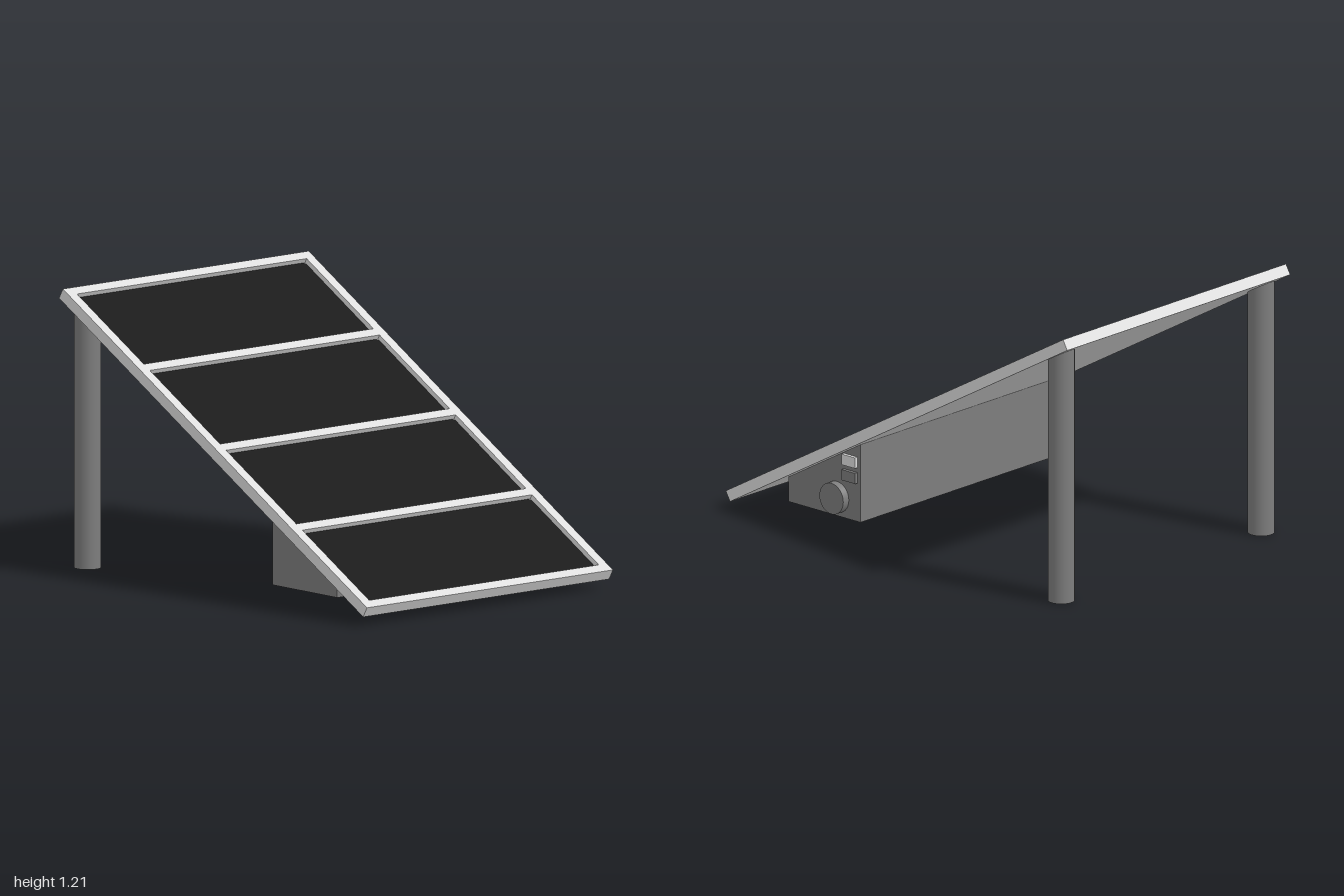
import * as THREE from 'three';

const frameMat = new THREE.MeshStandardMaterial({ color: 0xdedede });
frameMat.name = 'light grey';
const bodyMat = new THREE.MeshStandardMaterial({ color: 0x7d7d7d });
bodyMat.name = 'mid grey';
const cellMat = new THREE.MeshStandardMaterial({ color: 0x0e0e0e });
cellMat.name = 'cell black';

const TILT = THREE.MathUtils.degToRad(29.75);
const WIDTH = 1.41, LENGTH = 2.275, THICK = 0.05, RECESS = 0.023;
const MARGIN = 0.045, CENTRE_Y = 0.627;

// height of the panel's underside at a given z
const underside = (z) => CENTRE_Y - z * Math.tan(TILT) - THICK / 2 / Math.cos(TILT);

function add(parent, name, geometry, material, x = 0, y = 0, z = 0) {
  const mesh = new THREE.Mesh(geometry, material);
  mesh.name = name;
  mesh.position.set(x, y, z);
  parent.add(mesh);
  return mesh;
}

// rectangle with optional clipped corners
function rect(x0, y0, x1, y1, c = 0) {
  const points = c
    ? [[x0 + c, y0], [x1 - c, y0], [x1, y0 + c], [x1, y1 - c], [x1 - c, y1], [x0 + c, y1], [x0, y1 - c], [x0, y0 + c]]
    : [[x0, y0], [x1, y0], [x1, y1], [x0, y1]];
  return new THREE.Shape(points.map(([x, y]) => new THREE.Vector2(x, y)));
}

// tilted panel: back plate, raised frame with four openings, dark cells
function makePanel() {
  const panel = new THREE.Group();
  panel.name = 'panel';
  panel.position.y = CENTRE_Y;
  panel.rotation.x = TILT - Math.PI / 2;

  const base = THICK - RECESS;
  add(panel, 'backPlate', new THREE.BoxGeometry(WIDTH, LENGTH, base), frameMat, 0, 0, (base - THICK) / 2);

  const half = WIDTH / 2, inner = half - MARGIN - 0.002;
  const outline = rect(-half, -LENGTH / 2, half, LENGTH / 2);
  const floor = THICK / 2 - RECESS;
  let y = -LENGTH / 2 + MARGIN;
  for (const height of [0.5, 0.525, 0.525, 0.5]) {
    outline.holes.push(rect(-inner, y, inner, y + height));
    const cell = rect(-inner + 0.001, y + 0.001, inner - 0.001, y + height - 0.001, 0.01);
    add(panel, 'solarCell', new THREE.ShapeGeometry(cell), cellMat, 0, 0, floor + 0.002);
    y += height + MARGIN;
  }
  const frame = new THREE.ExtrudeGeometry(outline, { depth: RECESS, bevelEnabled: false });
  add(panel, 'frame', frame, frameMat, 0, 0, floor);
  return panel;
}

// round post whose top is cut to the slope of the panel
function makeLeg(x, z) {
  const geometry = new THREE.CylinderGeometry(0.058, 0.058, 1, 32);
  geometry.translate(0, 0.5, 0);
  const pos = geometry.attributes.position;
  for (let i = 0; i < pos.count; i++) {
    if (pos.getY(i) > 0.5) pos.setY(i, underside(z + pos.getZ(i)) + 0.005);
  }
  const leg = new THREE.Mesh(geometry, bodyMat);
  leg.name = 'rearLeg';
  leg.position.set(x, 0, z);
  return leg;
}

// wedge box under the panel, with dial, switch and socket on its side
function makeControlBox() {
  const box = new THREE.Group();
  box.name = 'controlBox';
  const side = 0.62, front = 0.71, back = 0.29, bottom = 0.08;
  const profile = new THREE.Shape([
    new THREE.Vector2(-front, bottom),
    new THREE.Vector2(-back, bottom),
    new THREE.Vector2(-back, underside(back) + 0.003),
    new THREE.Vector2(-front, underside(front) + 0.003),
  ]);
  const body = new THREE.ExtrudeGeometry(profile, { depth: side * 2, bevelEnabled: false });
  body.translate(0, 0, -side);
  body.rotateY(Math.PI / 2);
  add(box, 'wedgeBody', body, bodyMat);

  const dial = new THREE.CylinderGeometry(0.07, 0.07, 0.035, 32);
  dial.rotateZ(-Math.PI / 2);
  add(box, 'dial', dial, bodyMat, side + 0.0175, 0.165, 0.428);
  const plate = new THREE.BoxGeometry(0.016, 0.048, 0.08);
  add(box, 'lightSwitch', plate, frameMat, side + 0.008, 0.348, 0.347);
  add(box, 'socket', plate, bodyMat, side + 0.008, 0.278, 0.347);
  return box;
}

export function createModel() {
  const model = new THREE.Group();
  model.name = 'solarPanelStand';
  model.add(makePanel(), makeControlBox());
  for (const s of [-1, 1]) model.add(makeLeg(s * 0.632, -0.897));
  return model;
}
